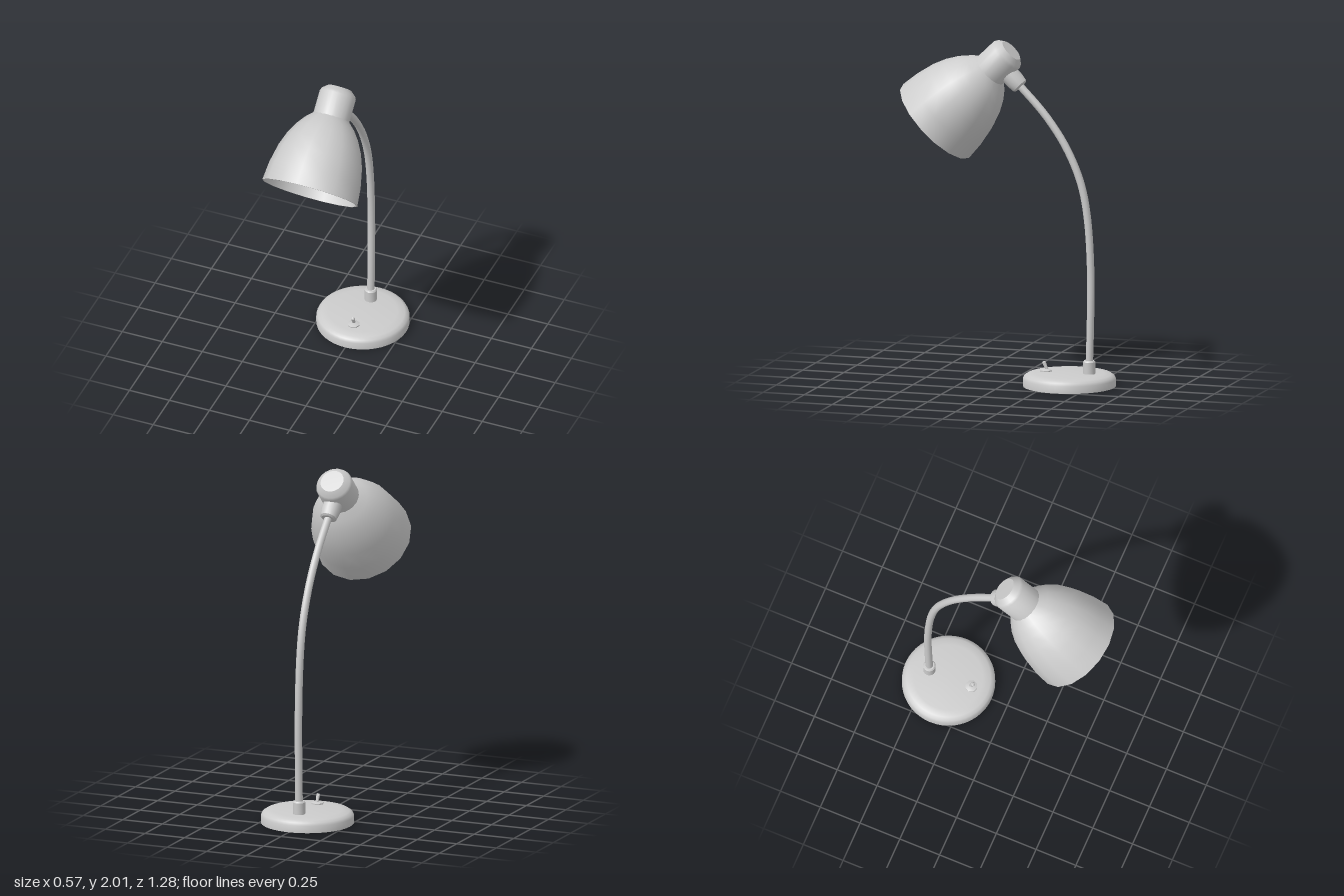
import * as THREE from 'three';
import { toCreasedNormals } from 'three/addons/utils/BufferGeometryUtils.js';

const material = new THREE.MeshStandardMaterial({ color: 0xcccccc, side: THREE.DoubleSide });

function part(name, geometry, parent) {
  const mesh = new THREE.Mesh(geometry, material);
  mesh.name = name;
  parent.add(mesh);
  return mesh;
}

// Turned part from [radius, height] pairs, listed so that the outside runs upwards
function turned(name, profile, sides, parent) {
  const points = profile.map(([r, y]) => new THREE.Vector2(r, y));
  return part(name, toCreasedNormals(new THREE.LatheGeometry(points, sides), 0.6), parent);
}

export function createModel() {
  const lamp = new THREE.Group();
  lamp.name = 'deskLamp';

  // Round weighted base with a softened upper edge
  turned('base', [[0, 0], [0.27, 0], [0.27, 0.042], [0.262, 0.058], [0.243, 0.07],
    [0.2, 0.076], [0, 0.08]], 48, lamp).position.z = -0.37;

  // Sleeve that holds the foot of the arm
  turned('armSleeve', [[0.036, 0.06], [0.036, 0.146], [0.03, 0.154], [0, 0.154]], 16, lamp)
    .position.z = -0.49;

  // Toggle switch: collar and leaning lever
  const toggle = new THREE.Group();
  toggle.name = 'switch';
  toggle.position.set(0, 0.076, -0.227);
  lamp.add(toggle);
  turned('switchCollar', [[0.036, 0], [0.036, 0.008], [0.018, 0.014], [0, 0.014]], 8, toggle);
  const lever = turned('switchLever', [[0.008, 0], [0.012, 0.058], [0.007, 0.064], [0, 0.064]], 8, toggle);
  lever.position.z = -0.012;
  lever.rotation.x = 0.42;

  // Curved arm
  const path = new THREE.CatmullRomCurve3([
    [0.1, -0.49], [0.35, -0.497], [0.65, -0.5], [1.0, -0.478], [1.2, -0.437],
    [1.4, -0.349], [1.58, -0.225], [1.74, -0.075], [1.8, -0.015],
  ].map(([y, z]) => new THREE.Vector3(0, y, z)));
  part('arm', new THREE.TubeGeometry(path, 40, 0.022, 12), lamp);

  // Joint between arm and head
  const joint = turned('joint', [[0, 0], [0.038, 0], [0.049, 0.008], [0.055, 0.05], [0.055, 0.14]], 16, lamp);
  joint.position.set(0, 1.74, -0.075);
  joint.rotation.x = Math.PI / 4;

  // Tilted head: its origin is the centre of the shade opening, y runs to the cap
  const head = new THREE.Group();
  head.name = 'head';
  head.position.set(0, 1.51, 0.44);
  head.rotation.x = -0.804;
  lamp.add(head);

  // Shade with a thin wall: inside downwards, round the rim, outside upwards
  const outside = [[0.287, 0], [0.276, 0.11], [0.253, 0.22], [0.224, 0.3], [0.186, 0.37],
    [0.148, 0.42], [0.1, 0.465]];
  const inside = outside.map(([r, y]) => [r - 0.007, y === 0 ? 0 : y - 0.005]).reverse();
  turned('shade', [[0, 0.47], ...inside, ...outside], 16, head);

  // Socket cap with a chamfered top
  turned('socketCap', [[0.108, 0.44], [0.108, 0.594], [0.1, 0.61], [0.07, 0.635], [0, 0.637]], 24, head);

  // Bulb and its neck
  turned('bulbNeck', [[0.06, 0.3], [0.045, 0.36], [0.045, 0.47]], 16, head);
  part('bulb', new THREE.SphereGeometry(0.11, 24, 16), head).position.y = 0.23;

  return lamp;
}
